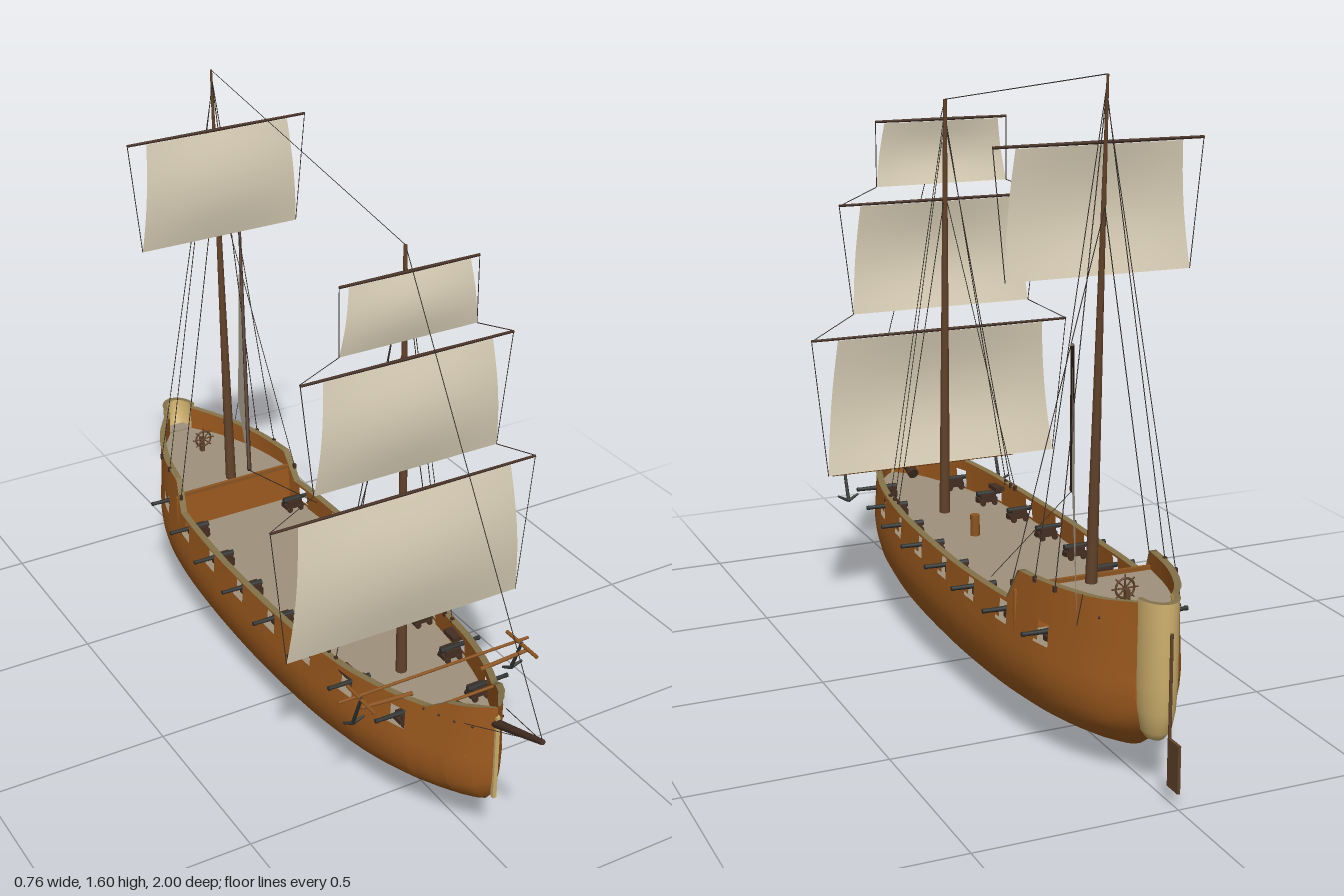
import * as THREE from 'three';

const mat = (name, color, side = THREE.FrontSide) => {
  const m = new THREE.MeshStandardMaterial({ color, side });
  m.name = name;
  return m;
};

export function createModel() {
  const ship = new THREE.Group();
  ship.name = 'sailingShip';
  const D = THREE.DoubleSide;
  const M = {
    hull: mat('hullWood', 0xa05c1f, D), deck: mat('deckPlanks', 0x9f927c, D),
    rim: mat('railWood', 0x83734a, D), cream: mat('paleWood', 0xcbae6c, D),
    sail: mat('canvas', 0xdbd0b8, D), mast: mat('mastWood', 0x62432a), trim: mat('trimWood', 0x8d5521),
    dark: mat('darkSpar', 0x442e22), rope: mat('rope', 0x36302b), iron: mat('gunIron', 0x2f312f),
  };
  const V = (x, y, z) => new THREE.Vector3(x, y, z);
  const add = (name, geo, m, parent = ship) => {
    const mesh = new THREE.Mesh(geo, m);
    mesh.name = name;
    parent.add(mesh);
    return mesh;
  };
  const box = (name, w, h, d, x, y, z, m, parent) => {
    const b = add(name, new THREE.BoxGeometry(w, h, d), m, parent);
    b.position.set(x, y, z);
    return b;
  };
  // Round bar between two points, a being the thick end
  const rod = (name, a, b, ra, rb, m, parent, sides = 10) => {
    const r = add(name, new THREE.CylinderGeometry(rb, ra, a.distanceTo(b), sides), m, parent);
    r.position.copy(a).add(b).multiplyScalar(0.5);
    r.quaternion.setFromUnitVectors(V(0, 1, 0), b.clone().sub(a).normalize());
    return r;
  };
  const rope = (a, b) => rod('rope', a, b, 0.0012, 0.0012, M.rope, ship, 4);

  // Interpolation of [position, value] tables, smooth or straight
  const sample = (t, z, smooth = true) => {
    let i = 0;
    while (i < t.length - 2 && z > t[i + 1][0]) i++;
    const slope = k => {
      const a = t[Math.max(k - 1, 0)], b = t[Math.min(k + 1, t.length - 1)];
      return (b[1] - a[1]) / (b[0] - a[0]);
    };
    const [z0, v0] = t[i], [z1, v1] = t[i + 1], h = z1 - z0;
    const s = Math.min(1, Math.max(0, (z - z0) / h));
    if (!smooth) return v0 + (v1 - v0) * s;
    const s2 = s * s, s3 = s2 * s;
    return (2 * s3 - 3 * s2 + 1) * v0 + (s3 - 2 * s2 + s) * h * slope(i)
      + (3 * s2 - 2 * s3) * v1 + (s3 - s2) * h * slope(i + 1);
  };
  const WIDTH = [[-0.88, 0.05], [-0.8, 0.11], [-0.7, 0.155], [-0.6, 0.182], [-0.4, 0.206], [-0.1, 0.215],
    [0.2, 0.207], [0.4, 0.186], [0.5, 0.166], [0.6, 0.136], [0.7, 0.092], [0.77, 0.055], [0.82, 0.003]];
  const KEEL = [[-0.88, 0.135], [-0.8, 0.08], [-0.7, 0.048], [-0.5, 0.02], [-0.2, 0.006], [0, 0.006],
    [0.3, 0.022], [0.5, 0.05], [0.65, 0.085], [0.75, 0.125], [0.8, 0.16], [0.82, 0.19]];
  const TOP = [[-0.88, 0.46], [-0.8, 0.45], [-0.53, 0.44], [-0.485, 0.358], [-0.2, 0.352], [0.2, 0.356],
    [0.4, 0.364], [0.67, 0.385], [0.72, 0.42], [0.82, 0.442]];
  const SECTION = [[0, 0], [0.07, 0.28], [0.2, 0.6], [0.33, 0.8], [0.5, 0.93], [0.75, 1], [1, 0.98], [1.6, 0.93]];
  const SILL = 0.29, LINTEL = 0.346;
  const PORTS = Array.from({ length: 8 }, (_, i) => 0.585 - i * 0.1737);
  const halfWidth = (y, z) => {
    const k = sample(KEEL, z);
    return sample(WIDTH, z) * sample(SECTION, (y - k) / (SILL - k));
  };

  // Stations along the hull, with edges at every gun port
  const ends = PORTS.flatMap(p => [p - 0.027, p + 0.027]);
  const stations = Array.from({ length: 52 }, (_, i) => -0.88 + 1.7 * i / 51)
    .filter(z => !ends.some(e => Math.abs(e - z) < 0.006))
    .concat(ends, [-0.53, -0.485, 0.67, 0.72]).sort((a, b) => a - b);

  // Quad sheet from point(i, j), with optional gaps
  const sheet = (n, m, point, flip, skip = () => false) => {
    const pos = [], idx = [];
    for (let i = 0; i < n; i++) for (let j = 0; j < m; j++) pos.push(...point(i, j));
    for (let i = 0; i < n - 1; i++) for (let j = 0; j < m - 1; j++) {
      if (skip(i, j)) continue;
      const a = i * m + j, b = a + m, c = b + 1, d = a + 1;
      idx.push(...(flip ? [a, b, c, a, c, d] : [a, c, b, a, d, c]));
    }
    const g = new THREE.BufferGeometry();
    g.setAttribute('position', new THREE.Float32BufferAttribute(pos, 3));
    g.setIndex(idx);
    g.computeVertexNormals();
    return g;
  };
  const isPort = i => {
    const mid = (stations[i] + stations[i + 1]) / 2;
    return PORTS.some(p => Math.abs(p - mid) < 0.027);
  };
  const LEVELS = [0, 0.03, 0.07, 0.13, 0.2, 0.28, 0.36, 0.48, 0.62, 0.75, 0.88, 1];
  const L = LEVELS.length;
  const hull = new THREE.Group();
  hull.name = 'hull';
  ship.add(hull);
  const inner = (y, z) => Math.max(0, halfWidth(y, z) - 0.011);
  for (const s of [1, -1]) {
    const rowY = (j, z) => {
      const k = sample(KEEL, z);
      return j < L ? k + (SILL - k) * LEVELS[j] : j === L ? LINTEL : sample(TOP, z, false);
    };
    add('outerPlanking', sheet(stations.length, L + 2, (i, j) => {
      const z = stations[i], y = rowY(j, z);
      return [s * halfWidth(y, z), y, z];
    }, s < 0, (i, j) => j === L - 1 && isPort(i)), M.hull, hull);
    add('innerBulwark', sheet(stations.length, 3, (i, j) => {
      const z = stations[i], y = rowY(L - 1 + j, z);
      return [s * inner(y, z), y, z];
    }, s > 0, (i, j) => j === 0 && isPort(i)), M.hull, hull);
    add('topRail', sheet(stations.length, 2, (i, j) => {
      const z = stations[i], y = sample(TOP, z, false) + 0.001;
      return [s * (j ? Math.max(0, inner(y, z) - 0.004) : halfWidth(y, z) + 0.004), y, z];
    }, s < 0), M.rim, hull);
    // Small fittings on the bow and stern planking
    for (const z of [0.78, 0.74, 0.7, 0.66, -0.8]) {
      const y = z < 0 ? 0.405 : 0.375;
      const stud = add('hullStud', new THREE.SphereGeometry(0.0035, 8, 6), M.dark, hull);
      stud.position.set(s * halfWidth(y, z), y, z);
    }
  }

  // Decks follow the inside of the hull
  const deck = (name, y, z0, z1) => add(name, sheet(40, 2, (i, j) => {
    const z = z0 + (z1 - z0) * i / 39;
    return [(j ? 1 : -1) * halfWidth(y, z) * 0.985, y, z];
  }, true), M.deck);
  deck('mainDeck', 0.286, -0.86, 0.815);
  deck('quarterDeck', 0.39, -0.88, -0.52);
  box('quarterDeckBulkhead', 0.38, 0.105, 0.008, 0, 0.338, -0.522, M.hull);
  box('quarterDeckRail', 0.36, 0.01, 0.01, 0, 0.395, -0.52, M.trim);

  // Rounded stern post, stem and rudder
  const profile = [[0, 0.13], [0.45, 0.134], [0.75, 0.155], [0.93, 0.205], [1, 0.27], [1, 0.47],
    [0.8, 0.47], [0.8, 0.39], [0, 0.39]];
  const stern = add('sternPost', new THREE.LatheGeometry(
    profile.map(([r, y]) => new THREE.Vector2(r, y)), 20, Math.PI / 2, Math.PI), M.cream);
  stern.scale.set(0.047, 1, 0.065);
  stern.position.z = -0.879;
  const sternRail = add('sternRail', new THREE.RingGeometry(0.78, 1.04, 20, 1, 0, Math.PI), M.rim);
  sternRail.rotation.x = -Math.PI / 2;
  sternRail.scale.set(0.047, 0.065, 1);
  sternRail.position.set(0, 0.4715, -0.879);
  box('sternDeck', 0.07, 0.004, 0.04, 0, 0.392, -0.9, M.deck);
  box('stem', 0.011, 0.24, 0.01, 0, 0.295, 0.819, M.cream);
  rod('rudderStock', V(0, 0.05, -0.953), V(0, 0.405, -0.953), 0.004, 0.004, M.mast);
  box('rudderBlade', 0.007, 0.115, 0.05, 0, 0.1, -0.975, M.mast);

  // Guns on wheeled carriages
  for (const z of PORTS) for (const s of [1, -1]) {
    const gun = new THREE.Group();
    gun.name = 'gun';
    gun.position.set(s * (halfWidth(0.32, z) - 0.042 + (z > 0.5 ? 0.01 : 0)), 0.287, z);
    rod('barrel', V(-s * 0.03, 0.032, 0), V(s * 0.088, 0.034, 0), 0.008, 0.005, M.iron, gun);
    rod('muzzle', V(s * 0.082, 0.034, 0), V(s * 0.09, 0.034, 0), 0.006, 0.006, M.iron, gun);
    box('carriage', 0.056, 0.012, 0.03, 0, 0.015, 0, M.dark, gun);
    for (const e of [-1, 1]) {
      box('cheek', 0.046, 0.016, 0.006, 0, 0.026, e * 0.013, M.dark, gun);
      for (const x of [-0.018, 0.018])
        rod('wheel', V(x, 0.008, e * 0.015), V(x, 0.008, e * 0.021), 0.008, 0.008, M.dark, gun);
    }
    ship.add(gun);
  }

  // Masts and bowsprit
  const foreTop = V(0, 1.455, 0.37), mizzenTop = V(0, 1.6, -0.603), spritTip = V(0, 0.458, 0.998);
  rod('foreMast', V(0, 0.28, 0.393), foreTop, 0.015, 0.005, M.mast);
  rod('mizzenMast', V(0, 0.286, -0.545), mizzenTop, 0.016, 0.003, M.mast);
  rod('bowsprit', V(0, 0.33, 0.64), spritTip, 0.016, 0.007, M.dark);
  rod('deckPost', V(0, 0.286, 0.17), V(0, 0.345, 0.17), 0.013, 0.013, M.trim);

  // Square sails: [yard half, yard y, top half, bottom half, bottom y, z, billow]
  const squares = [
    [0.38, 0.815, 0.305, 0.34, 0.43, 0.403, 0.03],
    [0.295, 1.18, 0.235, 0.26, 0.88, 0.4, 0.024],
    [0.19, 1.4, 0.165, 0.19, 1.225, 0.395, 0.014],
    [0.265, 1.445, 0.21, 0.235, 1.14, -0.572, 0.022],
  ];
  squares.forEach(([yard, y, top, bottom, foot, z, billow], n) => {
    add('squareSail', sheet(13, 13, (i, j) => {
      const u = i / 6 - 1, v = j / 12;
      return [u * (bottom + (top - bottom) * v), foot + (y - 0.005 - foot) * v,
        z + billow * Math.sin(Math.PI * v) * (0.6 + 0.4 * Math.cos(u * Math.PI / 2))];
    }, true), M.sail);
    for (const s of [1, -1]) {
      rod('yard', V(0, y, z), V(s * yard, y, z), 0.0045, 0.0035, M.dark);
      rope(V(s * yard, y, z), V(s * bottom, foot, z));
      if (n === 1 || n === 2) rope(V(s * bottom, foot, z), V(s * squares[n - 1][0], squares[n - 1][1], z));
    }
  });

  // Slanting yard with its triangular sail
  const tack = V(-0.06, 0.545, -0.315), peak = V(0.2, 1.055, -0.85), clew = V(0.2, 0.432, -0.885);
  rod('slantingYard', tack, peak, 0.006, 0.004, M.dark);
  add('triangularSail', sheet(9, 9, (i, j) => {
    const edge = clew.clone().lerp(peak, j / 8);
    return tack.clone().lerp(edge, i / 8).toArray();
  }, true), M.sail);
  rope(tack, V(0.17, 0.36, -0.34));
  rope(clew, V(0.125, 0.45, -0.76));

  // Stays, and shrouds ending in small blocks on the rail
  rope(spritTip, foreTop);
  rope(foreTop, mizzenTop);
  const shroud = (from, to) => {
    rope(from, to);
    box('shroudBlock', 0.008, 0.014, 0.008, to.x, to.y, to.z, M.dark);
  };
  for (const s of [1, -1]) {
    rope(spritTip, V(s * 0.06, 0.385, 0.77));
    [0.36, 0.325, 0.295].forEach((z, i) =>
      shroud(V(0, [1.42, 1.4, 1.2][i], 0.374), V(s * 0.175, 0.362, z)));
    [-0.5, -0.6, -0.68].forEach((z, i) =>
      shroud(V(0, [1.3, 1.57, 1.56][i], -0.597), V(s * (0.185 - i * 0.014), i ? 0.44 : 0.4, z)));
    box('pinRail', 0.03, 0.012, 0.05, s * 0.16, 0.34, 0.39, M.dark);
  }

  // Anchors slung from beams at the bow
  rod('anchorBeam', V(-0.2, 0.385, 0.55), V(0.2, 0.385, 0.55), 0.004, 0.004, M.trim);
  rod('bowRail', V(-0.085, 0.385, 0.68), V(0.085, 0.385, 0.68), 0.004, 0.004, M.trim);
  for (const s of [1, -1]) {
    const x = s * 0.235;
    rod('cathead', V(s * 0.1, 0.38, 0.6), V(s * 0.245, 0.39, 0.6), 0.006, 0.005, M.trim);
    rod('anchorStock', V(x, 0.4, 0.52), V(x, 0.4, 0.65), 0.005, 0.005, M.trim);
    rod('anchorShank', V(x, 0.405, 0.585), V(x, 0.305, 0.545), 0.004, 0.005, M.iron);
    rod('anchorBar', V(s * 0.2, 0.385, 0.55), V(s * 0.28, 0.385, 0.55), 0.004, 0.004, M.trim);
    for (const e of [-1, 1])
      rod('anchorArm', V(x, 0.305, 0.545), V(x + e * 0.03, 0.32, 0.55), 0.005, 0.003, M.iron);
  }

  // Steering wheel
  const wheel = new THREE.Group();
  wheel.name = 'steeringWheel';
  wheel.position.set(0, 0.435, -0.725);
  add('wheelRing', new THREE.TorusGeometry(0.024, 0.003, 6, 20), M.mast, wheel);
  for (let i = 0; i < 4; i++) {
    const a = i * Math.PI / 4, p = V(Math.cos(a) * 0.034, Math.sin(a) * 0.034, 0);
    rod('spoke', p, p.clone().negate(), 0.002, 0.002, M.mast, wheel, 6);
  }
  box('wheelStand', 0.012, 0.045, 0.012, 0, -0.022, -0.01, M.mast, wheel);
  ship.add(wheel);

  return ship;
}
